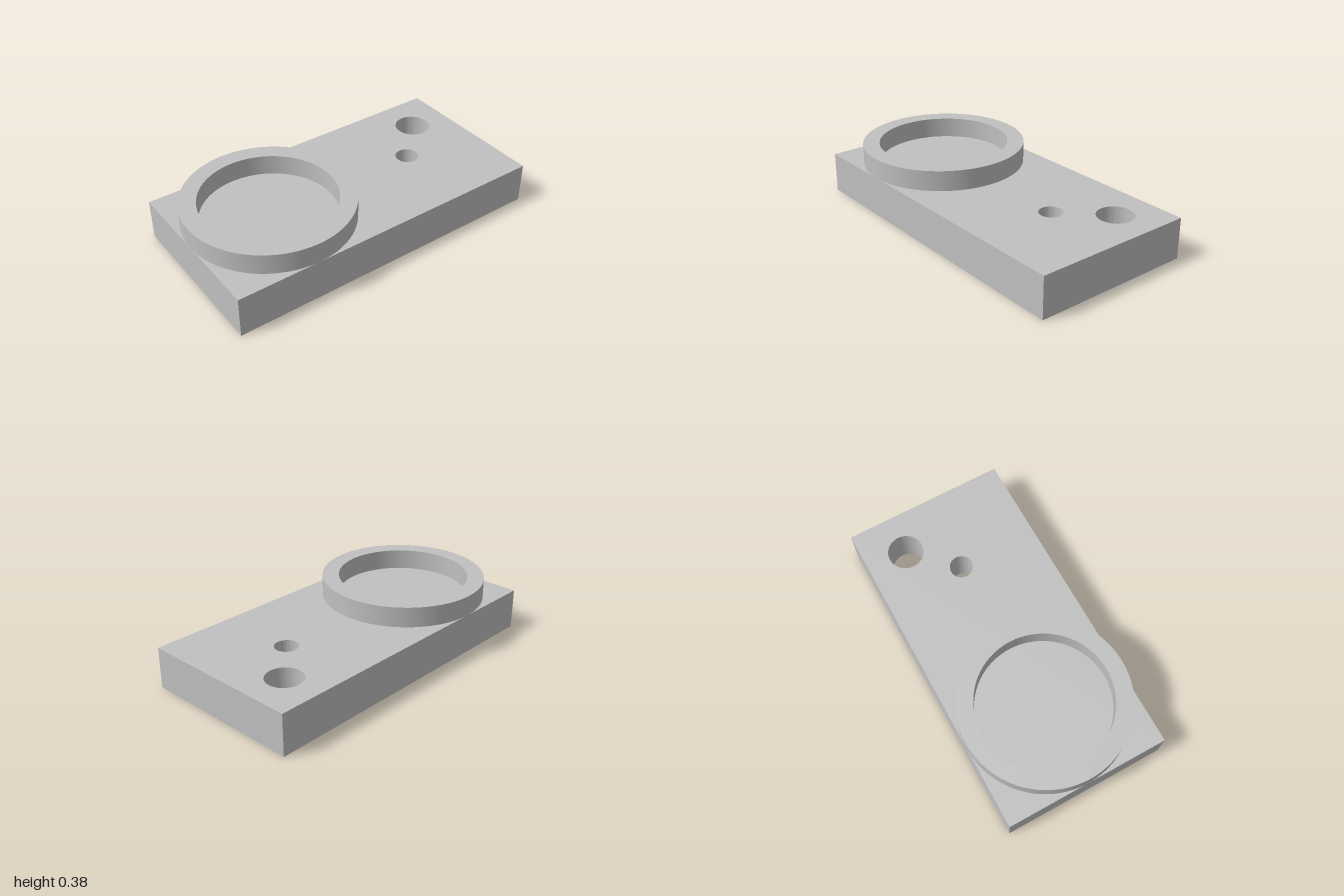
import * as THREE from 'three';
import { toCreasedNormals } from 'three/addons/utils/BufferGeometryUtils.js';

// Adds a round hole to a plan shape (shape y points to -z)
function addHole(shape, x, z, radius) {
  shape.holes.push(new THREE.Path().absarc(x, -z, radius, 0, Math.PI * 2, true));
}

// Extrudes a plan shape upwards, with smooth round walls and sharp edges
function extrudeUp(shape, height) {
  const geometry = new THREE.ExtrudeGeometry(shape, {
    depth: height, bevelEnabled: false, curveSegments: 64,
  });
  geometry.rotateX(-Math.PI / 2);
  return toCreasedNormals(geometry, Math.PI / 6);
}

export function createModel() {
  const group = new THREE.Group();
  const grey = new THREE.MeshStandardMaterial({ color: 0xc0c0c0 });
  grey.name = 'grey';

  // Base plate with two through holes
  const plate = new THREE.Shape([
    new THREE.Vector2(-1, -0.5), new THREE.Vector2(1, -0.5),
    new THREE.Vector2(1, 0.5), new THREE.Vector2(-1, 0.5),
  ]);
  addHole(plate, 0.5, 0, 0.07);
  addHole(plate, 0.75, -0.25, 0.108);
  const basePlate = new THREE.Mesh(extrudeUp(plate, 0.25), grey);
  basePlate.name = 'basePlate';
  group.add(basePlate);

  // Raised ring on the plate
  const ring = new THREE.Shape().absarc(0, 0, 0.5, 0, Math.PI * 2, false);
  addHole(ring, 0, 0, 0.398);
  const raisedRing = new THREE.Mesh(extrudeUp(ring, 0.125), grey);
  raisedRing.name = 'raisedRing';
  raisedRing.position.set(-0.5, 0.25, 0);
  group.add(raisedRing);

  return group;
}
